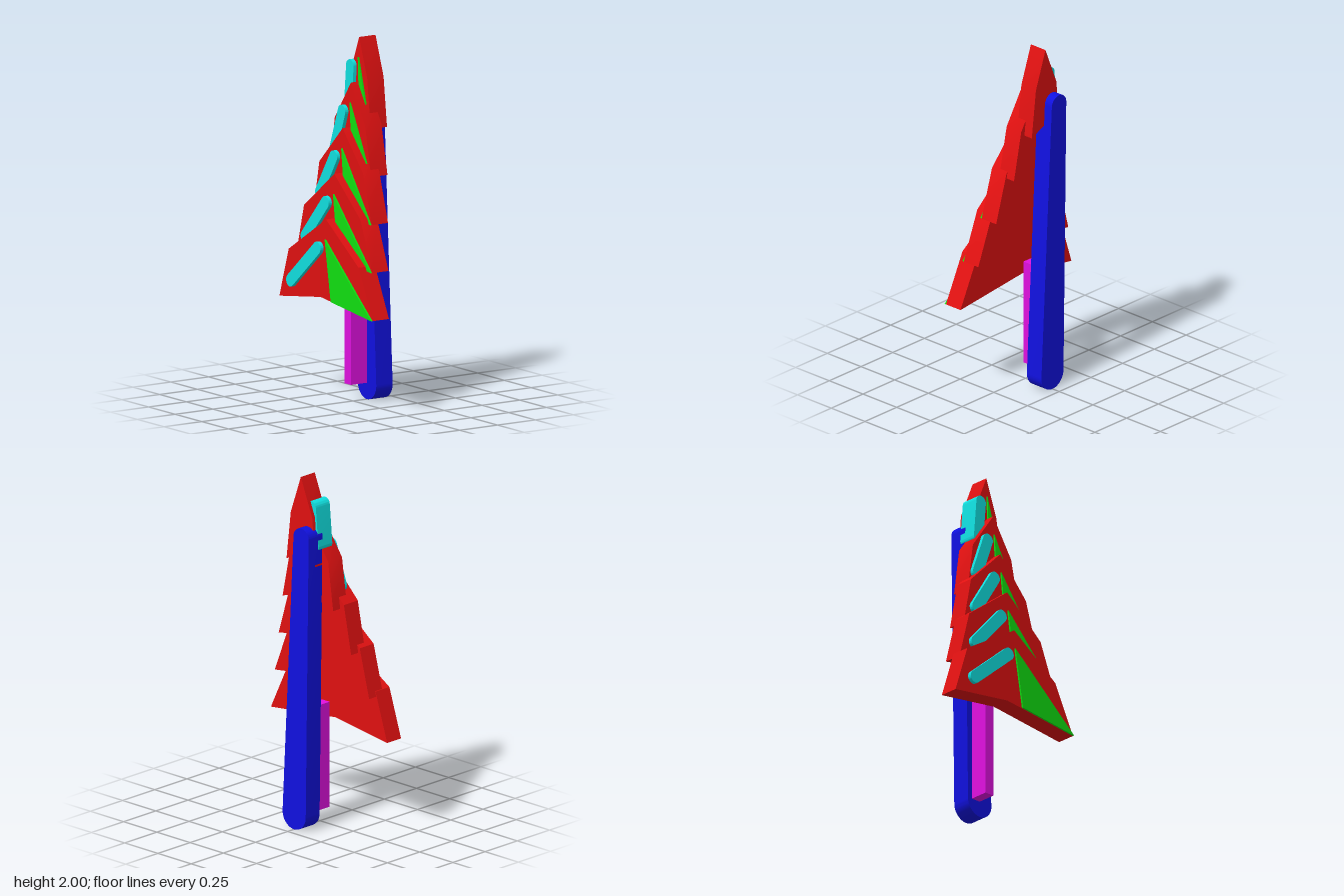
import * as THREE from 'three';
import { toCreasedNormals } from 'three/addons/utils/BufferGeometryUtils.js';

const paint = (name, color) => {
  const m = new THREE.MeshStandardMaterial({ color });
  m.name = name;
  return m;
};

const DEPTH = 0.108;

// Plate cut from a shape, with its back at z0
function plate(name, shape, z0, depth, material) {
  const geo = new THREE.ExtrudeGeometry(shape, { depth, bevelEnabled: false, curveSegments: 16 });
  geo.translate(0, 0, z0);
  const mesh = new THREE.Mesh(toCreasedNormals(geo, 0.5), material);
  mesh.name = name;
  return mesh;
}

const polygon = (points) => new THREE.Shape(points.map(([x, y]) => new THREE.Vector2(x, y)));

// Bar with rounded ends of radius ra and rb
function roundedBar(ax, ay, ra, bx, by, rb) {
  const dir = Math.atan2(by - ay, bx - ax);
  const spread = Math.acos((ra - rb) / Math.hypot(bx - ax, by - ay));
  const s = new THREE.Shape();
  s.absarc(bx, by, rb, dir - spread, dir + spread, false);
  s.absarc(ax, ay, ra, dir + spread, dir - spread + Math.PI * 2, false);
  return s;
}

export function createModel() {
  const red = paint('red', 0xe01111);
  const green = paint('green', 0x11e011);
  const cyan = paint('cyan', 0x11e0e0);
  const blue = paint('blue', 0x1111e0);
  const magenta = paint('magenta', 0xe011e0);

  const tree = new THREE.Group();
  tree.name = 'tree';

  // Trunk: tapered, leaning slightly, behind the branches
  tree.add(plate('trunk', roundedBar(0, 0.087, 0.087, -0.052, 1.673, 0.057), -0.2, DEPTH, blue));

  // Strip on the front of the trunk
  const strip = new THREE.Mesh(new THREE.BoxGeometry(0.058, 0.6, DEPTH), magenta);
  strip.name = 'trunkStrip';
  strip.position.set(-0.029, 0.39, -0.039);
  tree.add(strip);

  // Five branch tiers, each higher, narrower and further back
  for (let i = 0; i < 5; i++) {
    const w = 0.437 - 0.0823 * i;
    const y = 0.53 + 0.245 * i;
    const z = 0.071 - 0.0548 * i;
    const tier = new THREE.Group();
    tier.name = 'tier' + (i + 1);

    tier.add(plate('branches', polygon([
      [-w, y], [-0.115 * w, y + 0.055], [w, y],
      [0.7 * w, y + 0.273], [0, y + 0.49], [-0.8 * w, y + 0.273],
    ]), z, DEPTH, red));

    // Triangular facet on one side
    tier.add(plate('facet', polygon([
      [0, y + 0.38], [0.13 * w, y + 0.045], [w, y],
    ]), z + DEPTH, 0.0098, green));

    // Rounded bar on the other side
    tier.add(plate('highlight',
      roundedBar(-0.309 + 0.058 * i, y + 0.108, 0.035, -0.058, y + 0.325, 0.035),
      z + 0.021, DEPTH, cyan));

    tree.add(tier);
  }
  return tree;
}
